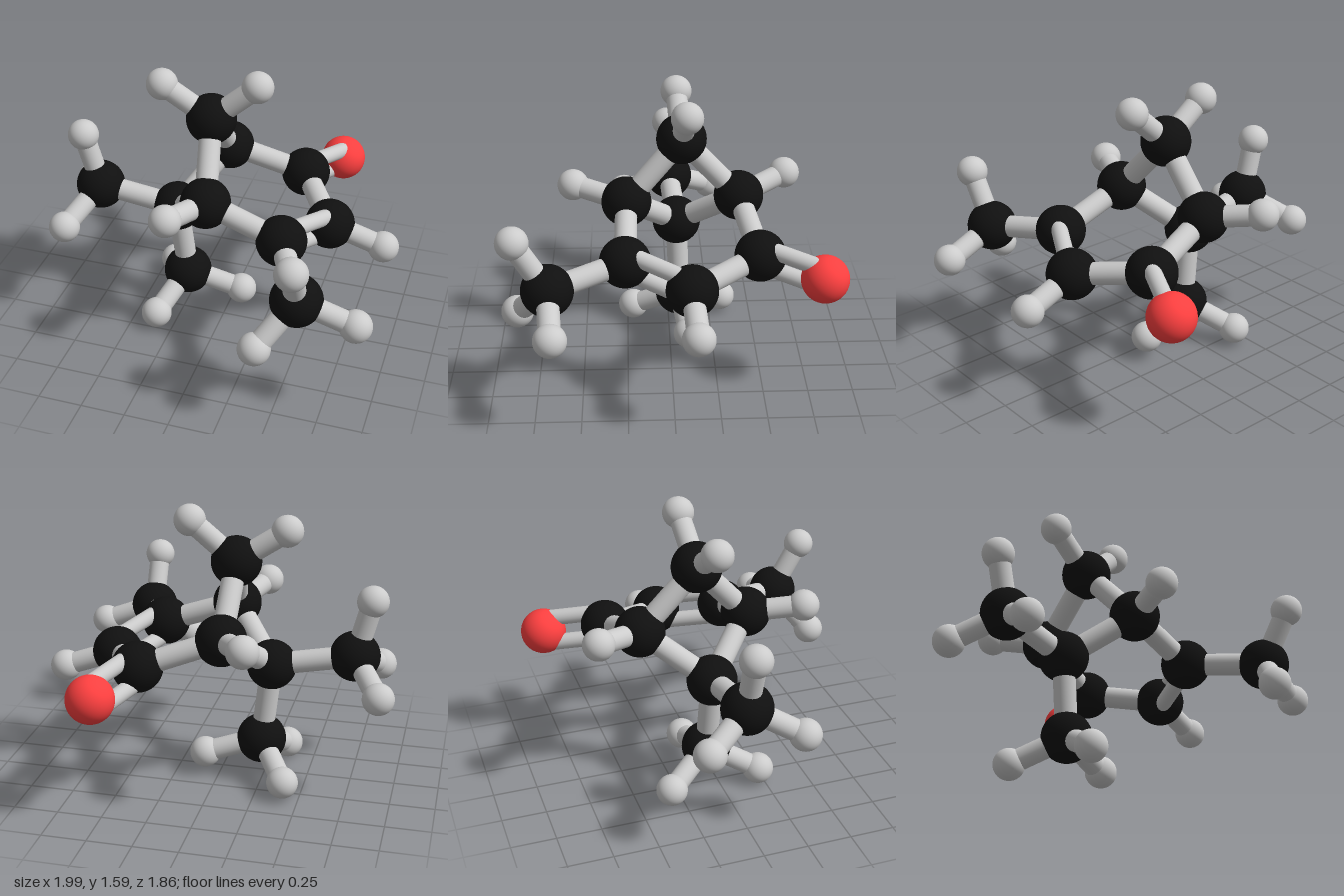
import * as THREE from 'three';

const carbonMat = new THREE.MeshStandardMaterial({ color: 0x101010 });
const oxygenMat = new THREE.MeshStandardMaterial({ color: 0xff4040 });
const greyMat = new THREE.MeshStandardMaterial({ color: 0xcccccc });

const kinds = {
  carbon: { radius: 0.14, material: carbonMat },
  oxygen: { radius: 0.13, material: oxygenMat },
  hydrogen: { radius: 0.088, material: greyMat },
};

// Heavy atoms: position, then the hydrogens attached to each
const atoms = {
  bridge: { at: [-0.09, 1.285, -0.065], h: [[-0.365, 1.465, -0.045], [0.165, 1.505, -0.085]] },
  quaternary: { at: [-0.29, 0.69, -0.045], h: [] },
  sideMethyl: {
    at: [-0.75, 0.77, -0.015],
    h: [[-0.835, 1.09, -0.005], [-0.912, 0.638, -0.273], [-0.87, 0.625, 0.265]],
  },
  lowerMethyl: {
    at: [-0.24, 0.237, -0.06],
    h: [[0.08, 0.135, -0.105], [-0.345, 0.092, 0.215], [-0.41, 0.103, -0.32]],
  },
  backRing: { at: [-0.08, 0.943, -0.388], h: [[-0.255, 1.0, -0.662]] },
  frontRing: { at: [-0.027, 0.938, 0.245], h: [[-0.152, 0.988, 0.545]] },
  carbonyl: { at: [0.36, 0.787, -0.473], h: [] },
  outerRing: { at: [0.595, 0.71, -0.095], h: [[0.902, 0.602, -0.115]] },
  alkene: { at: [0.405, 0.785, 0.255], h: [] },
  frontMethyl: {
    at: [0.595, 0.727, 0.662],
    h: [[0.602, 1.01, 0.83], [0.423, 0.505, 0.84], [0.905, 0.612, 0.637]],
  },
  oxygen: { at: [0.515, 0.723, -0.805], h: [], kind: 'oxygen' },
};

const singleBonds = [
  ['bridge', 'backRing'], ['bridge', 'frontRing'],
  ['quaternary', 'backRing'], ['quaternary', 'frontRing'],
  ['quaternary', 'sideMethyl'], ['quaternary', 'lowerMethyl'],
  ['backRing', 'carbonyl'], ['carbonyl', 'outerRing'],
  ['alkene', 'frontRing'], ['alkene', 'frontMethyl'],
];
const doubleBonds = [['outerRing', 'alkene'], ['carbonyl', 'oxygen']];

export function createModel() {
  const model = new THREE.Group();
  model.name = 'molecule';

  function addAtom(name, kind, p) {
    const { radius, material } = kinds[kind];
    const ball = new THREE.Mesh(new THREE.SphereGeometry(radius, 40, 28), material);
    ball.position.copy(p);
    ball.name = name;
    model.add(ball);
  }

  function addBond(name, a, b, radius) {
    const dir = b.clone().sub(a);
    const rod = new THREE.Mesh(new THREE.CylinderGeometry(radius, radius, dir.length(), 28), greyMat);
    rod.position.copy(a).add(b).multiplyScalar(0.5);
    rod.quaternion.setFromUnitVectors(new THREE.Vector3(0, 1, 0), dir.normalize());
    rod.name = name;
    model.add(rod);
  }

  const pos = (name) => new THREE.Vector3(...atoms[name].at);

  // Atoms, each with its hydrogens and their bonds
  for (const [name, { at, h, kind = 'carbon' }] of Object.entries(atoms)) {
    const centre = new THREE.Vector3(...at);
    addAtom(name + 'Atom', kind, centre);
    h.forEach((q, i) => {
      const p = new THREE.Vector3(...q);
      addAtom(`${name}Hydrogen${i + 1}`, 'hydrogen', p);
      addBond(`${name}HydrogenBond${i + 1}`, centre, p, 0.06);
    });
  }

  // Skeleton
  for (const [a, b] of singleBonds) addBond(`${a}To${b}Bond`, pos(a), pos(b), 0.062);

  // Double bonds: two thinner rods above and below the flat side of the ring
  const normal = new THREE.Vector3(0.34, 0.94, -0.01);
  for (const [a, b] of doubleBonds) {
    const dir = pos(b).sub(pos(a)).normalize();
    const offset = normal.clone().addScaledVector(dir, -normal.dot(dir)).setLength(0.072);
    for (const side of [-1, 1]) {
      addBond(`${a}To${b}DoubleBond`, pos(a).addScaledVector(offset, side), pos(b).addScaledVector(offset, side), 0.046);
    }
  }
  return model;
}
